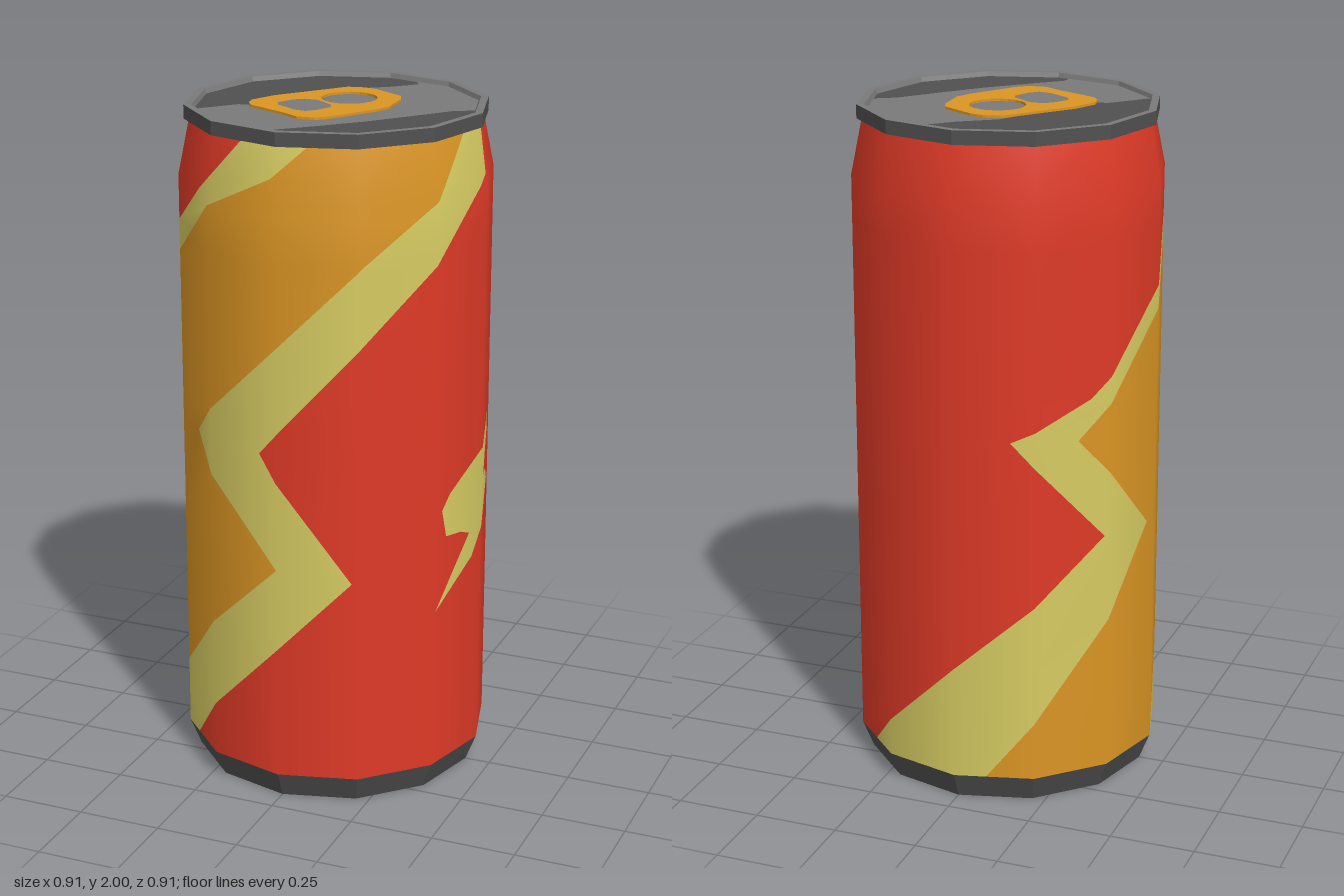
import * as THREE from 'three';

const mat = (name, color) => {
  const m = new THREE.MeshStandardMaterial({ color });
  m.name = name;
  return m;
};

const SIDES = 12, STEP = 360 / SIDES;
const R = 0.455, Y0 = 0.08, YS = 1.8, Y1 = 1.96, RN = 0.422;

// Edges of the zigzag bands: [height, angle in degrees], angle 0 = front, 90 = model's left
const BACK_RED = [[0.08, -225], [0.42, -180], [0.81, -122], [1.12, -159], [1.23, -128], [1.5, -90], [1.67, -60], [1.845, -30], [1.96, -17]];
const BACK_ORANGE = [[0.08, -168], [0.79, -95], [1.11, -133], [1.43, -90], [1.58, -60], [1.765, -30], [1.87, -2], [1.96, 11.6]];
const FRONT_ORANGE = [[0.08, -88], [0.28, -61], [0.51, -30], [0.73, 0], [1.075, -43], [1.39, 0], [1.63, 31], [1.795, 60], [1.96, 81]];
const FRONT_RED = [[0.08, -49.4], [0.25, -29], [0.7, 27.7], [1.075, -7.3], [1.395, 30], [1.615, 60], [1.83, 90], [1.96, 103]];

function edgeAt(edge, y) {
  for (let i = 1; i < edge.length; i++) {
    const [ya, a] = edge[i - 1], [yb, b] = edge[i];
    if (y <= yb + 1e-9) return a + (b - a) * (y - ya) / (yb - ya);
  }
  return edge[edge.length - 1][1];
}

// Keep the part of a polygon of [angle, y] on one side of a given angle
function clip(poly, angle, sign) {
  const out = [];
  poly.forEach((p, i) => {
    const q = poly[(i + 1) % poly.length];
    const dp = sign * (p[0] - angle), dq = sign * (q[0] - angle);
    if (dp >= 0) out.push(p);
    if (dp * dq < 0) {
      const t = dp / (dp - dq);
      out.push([angle, p[1] + (q[1] - p[1]) * t]);
    }
  });
  return out;
}

// Wrap convex [angle, y] polygons round the twelve-sided wall, with smooth normals
function wrap(polys, lift = 0) {
  const pos = [], nor = [];
  const point = (k, [a, y]) => {
    const t = a / STEP - k, a0 = THREE.MathUtils.degToRad(k * STEP), a1 = THREE.MathUtils.degToRad((k + 1) * STEP);
    const x = Math.sin(a0) * (1 - t) + Math.sin(a1) * t;
    const z = Math.cos(a0) * (1 - t) + Math.cos(a1) * t;
    const up = THREE.MathUtils.clamp((y - YS) / (Y1 - YS), 0, 1);
    const r = R + (RN - R) * up + lift;
    pos.push(x * r, y, z * r);
    const n = new THREE.Vector3(x, y < YS - 0.1 ? 0 : 0.1 + 0.11 * up, z).normalize();
    nor.push(n.x, n.y, n.z);
  };
  for (const poly of polys) {
    const as = poly.map(p => p[0]);
    for (let k = Math.floor(Math.min(...as) / STEP); k * STEP < Math.max(...as); k++) {
      const c = clip(clip(poly, k * STEP, 1), (k + 1) * STEP, -1);
      for (let i = 1; i + 1 < c.length; i++) [c[0], c[i], c[i + 1]].forEach(p => point(k, p));
    }
  }
  const g = new THREE.BufferGeometry();
  g.setAttribute('position', new THREE.Float32BufferAttribute(pos, 3));
  g.setAttribute('normal', new THREE.Float32BufferAttribute(nor, 3));
  return g;
}

// Trapezoids between two edges, one per height row
function between(left, right, turn = 0) {
  const ys = [...new Set([Y0, YS, Y1, ...left.map(p => p[0]), ...right.map(p => p[0])])].sort((a, b) => a - b);
  return ys.slice(1).map((y1, i) => {
    const y0 = ys[i];
    return [
      [edgeAt(left, y0), y0], [edgeAt(right, y0) + turn, y0],
      [edgeAt(right, y1) + turn, y1], [edgeAt(left, y1), y1],
    ];
  });
}

// Faceted twelve-sided ring or disc from a profile
function turned(profile) {
  const g = new THREE.LatheGeometry(profile.map(p => new THREE.Vector2(...p)), SIDES).toNonIndexed();
  g.computeVertexNormals();
  return g;
}

const vecs = (pts, sz = 1) => pts.map(([x, z]) => new THREE.Vector2(x, sz * z));

export function createModel() {
  const red = mat('red paint', 0xdf3a27);
  const orange = mat('orange paint', 0xda9524);
  const yellow = mat('yellow paint', 0xd6cb62);
  const dark = mat('dark metal', 0x505050);
  const light = mat('light metal', 0x7a7a7a);

  const model = new THREE.Group();
  model.name = 'drinkCan';
  const add = (name, geometry, material, y = 0) => {
    const mesh = new THREE.Mesh(geometry, material);
    mesh.name = name;
    mesh.position.y = y;
    model.add(mesh);
  };

  // Painted wall
  add('redWall', wrap(between(FRONT_RED, BACK_RED, 360)), red);
  add('orangeWall', wrap(between(BACK_ORANGE, FRONT_ORANGE)), orange);
  add('frontZigzag', wrap(between(FRONT_ORANGE, FRONT_RED)), yellow);
  add('backZigzag', wrap(between(BACK_RED, BACK_ORANGE)), yellow);

  // Lightning bolt on the model's left side, as [z, y]
  const bolt = [[-0.135, 1.08], [-0.13, 1.025], [-0.035, 0.917], [-0.11, 0.911], [-0.15, 0.864], [0, 0.768], [0.045, 0.69],
    [0.22, 0.573], [0.06, 0.768], [0.1, 0.785], [0.172, 0.795], [0.193, 0.88], [0.156, 0.922], [0.008, 1.012]];
  const flat = new THREE.ShapeGeometry(new THREE.Shape(
    bolt.map(([z, y]) => new THREE.Vector2(90 - z / (R * 0.5) * STEP, y)))).toNonIndexed();
  const fp = flat.attributes.position, tris = [];
  for (let i = 0; i < fp.count; i += 3) tris.push([0, 1, 2].map(j => [fp.getX(i + j), fp.getY(i + j)]));
  add('lightningBolt', wrap(tris, 0.003), yellow);

  // Base and its stripe
  add('base', turned([[0, 0.003], [0.41, 0.003], [0.423, 0], [R, Y0]]), dark);
  const along = [[-0.39, 0.09], [0, 0.11], [0.15, 0.19], [0.28, 0.29], [0.395, 0.1], [0.39, -0.12], [0.33, -0.19], [0, -0.22], [-0.27, -0.29], [-0.38, -0.13]];
  const baseStripe = along.map(([r, c]) => [(c - r) * 0.707, -(c + r) * 0.707]);
  add('baseStripe', new THREE.ShapeGeometry(new THREE.Shape(vecs(baseStripe))).rotateX(Math.PI / 2), light, 0.001);

  // Lid: rim wall, rim top, recessed panel
  add('rim', turned([[RN - 0.01, Y1], [0.437, Y1], [0.437, 2]]), dark);
  add('rimTop', turned([[0.437, 2], [0.415, 2], [0.41, 1.986]]), light);
  add('lidPanel', turned([[0.41, 1.986], [0, 1.986]]), dark);
  const shine = [[0.1, -0.375], [0.115, -0.345], [0.05, -0.28], [-0.05, -0.21], [-0.15, -0.04], [-0.22, 0.1], [-0.26, 0.105],
    [-0.3, 0.15], [-0.352, 0.21], [-0.207, 0.352], [-0.04, 0.393], [-0.035, 0.36], [0.05, 0.28], [0.15, 0.18], [0.25, 0.06],
    [0.33, -0.04], [0.388, -0.075], [0.353, -0.205], [0.205, -0.352]];
  add('lidStripe', new THREE.ShapeGeometry(new THREE.Shape(vecs(shine, -1))).rotateX(-Math.PI / 2), light, 1.988);

  // Pull tab with two holes
  const tab = new THREE.Shape(vecs([[-0.05, -0.2], [0, -0.21], [0.04, -0.2], [0.14, -0.14], [0.155, -0.1], [0.16, 0], [0.14, 0.05],
    [0.05, 0.19], [0.02, 0.215], [-0.03, 0.22], [-0.08, 0.19], [-0.21, 0.13], [-0.23, 0.1], [-0.235, 0.065], [-0.2, -0.01]], -1));
  tab.holes.push(new THREE.Path().absarc(0.012, 0.062, 0.081, 0, Math.PI * 2));
  tab.holes.push(new THREE.Path(vecs([[-0.1, 0], [-0.06, 0], [0, 0.045], [0.01, 0.07], [-0.01, 0.12], [-0.035, 0.147],
    [-0.07, 0.142], [-0.14, 0.1], [-0.153, 0.07], [-0.125, 0.02]], -1)));
  const tabGeometry = new THREE.ExtrudeGeometry(tab, { depth: 0.007, bevelEnabled: false, curveSegments: 10 });
  add('pullTab', tabGeometry.rotateX(-Math.PI / 2), orange, 1.989);

  return model;
}
